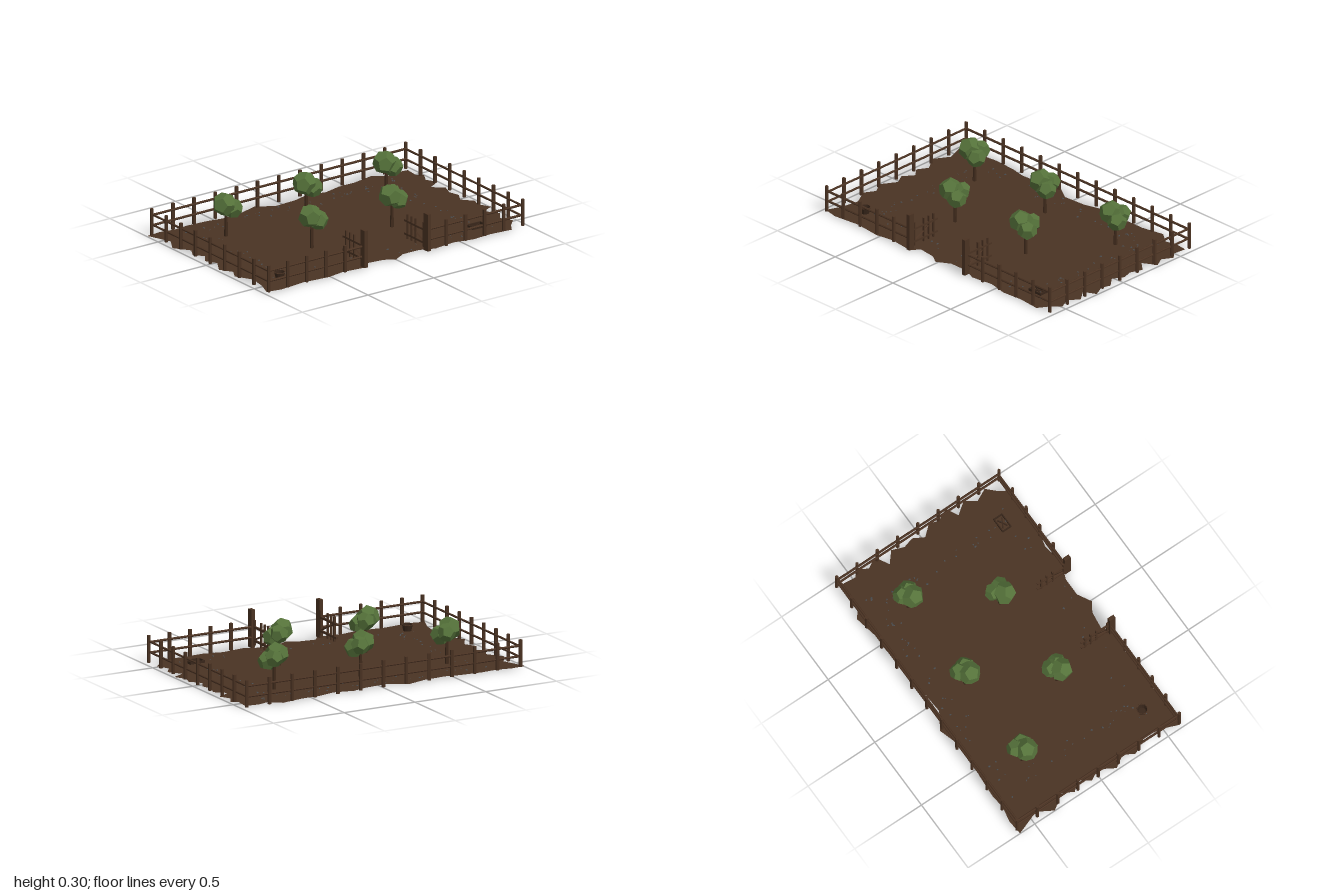
import * as THREE from 'three';

const mat = (name, color, opts = {}) => new THREE.MeshStandardMaterial({ name, color, flatShading: true, ...opts });

export function createModel() {
  const root = new THREE.Group();
  root.name = 'fencedOrchard';
  const soil = mat('soil', 0x4a3323, { side: THREE.DoubleSide });
  const wood = mat('wood', 0x4a3222);
  const bark = mat('bark', 0x402b1c);
  const leaf = mat('leaf', 0x55723a);
  const stone = mat('stone', 0x4a4c4e);
  const darkWood = mat('darkWood', 0x38261a, { side: THREE.DoubleSide });
  const G = 0.006; // soil level

  let seed = 11;
  const rnd = () => (seed = (seed * 16807) % 2147483647) / 2147483647;
  const group = (name, parent = root) => {
    const g = new THREE.Group();
    g.name = name;
    parent.add(g);
    return g;
  };
  const add = (parent, name, geo, material, x = 0, y = 0, z = 0) => {
    const m = new THREE.Mesh(geo, material);
    m.name = name;
    m.position.set(x, y, z);
    parent.add(m);
    return m;
  };
  // Round pole between two points
  const pole = (parent, name, a, b, r, material = wood, sides = 6) => {
    const A = new THREE.Vector3(...a), B = new THREE.Vector3(...b);
    const m = add(parent, name, new THREE.CylinderGeometry(r, r, A.distanceTo(B), sides), material);
    m.position.copy(A).add(B).multiplyScalar(0.5);
    m.quaternion.setFromUnitVectors(new THREE.Vector3(0, 1, 0), B.sub(A).normalize());
    return m;
  };

  // Soil sheet with a ragged outline, as x, z pairs
  const edge = [
    -1, -0.61, -0.9, -0.62, -0.8, -0.6, -0.7, -0.61, -0.55, -0.6, -0.45, -0.58, -0.3, -0.59, -0.17, -0.63,
    -0.06, -0.56, 0.1, -0.57, 0.2, -0.6, 0.33, -0.57, 0.45, -0.6, 0.57, -0.6, 0.72, -0.63, 0.8, -0.57,
    0.87, -0.59, 0.96, -0.58, 0.95, -0.48, 0.99, -0.45, 0.95, -0.38, 0.99, -0.31, 0.9, -0.26, 0.97, -0.2,
    0.94, -0.12, 0.96, -0.05, 0.92, 0.02, 0.98, 0.09, 0.96, 0.15, 1, 0.23, 0.92, 0.27, 0.98, 0.35,
    0.93, 0.42, 0.97, 0.5, 0.91, 0.56, 0.87, 0.625, 0.72, 0.61, 0.58, 0.62, 0.45, 0.59, 0.3, 0.61,
    0.2, 0.57, 0.08, 0.57, -0.01, 0.62, -0.07, 0.58, -0.19, 0.565, -0.23, 0.62, -0.4, 0.6, -0.52, 0.62,
    -0.7, 0.6, -0.88, 0.62, -0.98, 0.6, -0.94, 0.5, -0.92, 0.38, -0.98, 0.27, -0.94, 0.2, -0.99, 0.12,
    -0.93, 0.02, -0.97, -0.05, -0.92, -0.12, -0.97, -0.18, -0.93, -0.25, -1, -0.35, -0.94, -0.45, -0.97, -0.53,
  ];
  const outline = new THREE.Shape();
  for (let i = 0; i < edge.length; i += 2) outline[i ? 'lineTo' : 'moveTo'](edge[i], -edge[i + 1]);
  add(root, 'soil', new THREE.ShapeGeometry(outline).rotateX(-Math.PI / 2), soil, 0, G, 0);

  // Fence runs: posts plus two rails
  const fence = group('fence');
  const run = (x0, z0, x1, z1, n, inX, inZ, skipLast = false) => {
    for (let i = 0; i <= n - (skipLast ? 1 : 0); i++) {
      const x = x0 + ((x1 - x0) * i) / n, z = z0 + ((z1 - z0) * i) / n;
      pole(fence, 'post', [x, G, z], [x, 0.178, z], 0.0115);
    }
    for (const y of [0.071, 0.138])
      pole(fence, 'rail', [x0 + inX, y, z0 + inZ], [x1 + inX, y, z1 + inZ], 0.0075);
  };
  run(-0.967, -0.61, 0.967, -0.61, 12, 0, 0.006);
  for (const s of [-1, 1]) {
    run(s * 0.967, 0.605, s * 0.967, -0.61, 8, -s * 0.006, 0, true);
    run(s * 0.967, 0.605, s * 0.24, 0.605, 5, 0, -0.01, true);
  }

  // Gate posts and the two leaves, standing open inwards
  for (const s of [-1, 1]) {
    const gate = group(s > 0 ? 'leftGate' : 'rightGate');
    const x = s * 0.234;
    add(gate, 'gatePost', new THREE.BoxGeometry(0.024, 0.242, 0.042), wood, s * 0.24, 0.127, 0.606);
    for (const z of [0.578, 0.495, 0.452, 0.41])
      add(gate, 'gatePicket', new THREE.BoxGeometry(0.012, 0.16, 0.012), wood, x, 0.104, z);
    for (const y of [0.052, 0.138])
      add(gate, 'gateRail', new THREE.BoxGeometry(0.012, 0.013, 0.215), wood, x, y, 0.487);
    pole(gate, 'gateBrace', [x, 0.062, 0.57], [x, 0.136, 0.41], 0.006, wood, 4);
  }

  // Trees: thin trunk with three faceted leaf clumps
  const clumps = [
    [-0.026, 0.225, 0.015, 0.075, 0.5],
    [0.034, 0.188, 0.022, 0.064, 1.4],
    [0.02, 0.215, -0.032, 0.06, 2.3],
  ];
  [[-0.61, -0.325], [0, -0.325], [0.61, -0.325], [-0.305, 0.15], [0.305, 0.15]].forEach(([x, z], i) => {
    const tree = group('tree');
    tree.position.set(x, 0, z);
    add(tree, 'trunk', new THREE.CylinderGeometry(0.009, 0.012, 0.17, 6), bark, 0, G + 0.085, 0);
    for (const [cx, cy, cz, r, turn] of clumps) {
      const c = add(tree, 'foliage', new THREE.DodecahedronGeometry(r), leaf, cx, cy, cz);
      c.rotation.set(turn * 0.6, turn + i * 0.25, 0.2);
    }
  });

  // Pebbles strewn along the inside of the fence
  const pebbles = group('pebbles');
  const geo = new THREE.DodecahedronGeometry(1);
  const pebble = (x, z) => {
    const r = 0.003 + rnd() * 0.004;
    const p = add(pebbles, 'pebble', geo, stone, x, G, z);
    p.scale.set(r * 1.3, r * 0.85, r);
    p.rotation.y = rnd() * 6;
  };
  for (let i = 0; i < 60; i++) {
    const s = i % 3 ? -1 : 1;
    pebble((rnd() * 2 - 1) * 0.8, s * (0.42 + rnd() * 0.12));
  }
  for (let i = 0; i < 44; i++) pebble((i % 2 ? 1 : -1) * (0.66 + rnd() * 0.09), (rnd() * 2 - 1) * 0.42);

  // Open bucket with a rim
  const bucket = group('bucket');
  bucket.position.set(-0.777, G, 0.46);
  const profile = [[0, 0.003], [0.025, 0.003], [0.034, 0.045], [0.03, 0.045], [0.023, 0.008], [0, 0.008]];
  add(bucket, 'bucketBody', new THREE.LatheGeometry(profile.map(p => new THREE.Vector2(...p)), 12), darkWood);
  add(bucket, 'bucketRim', new THREE.TorusGeometry(0.033, 0.003, 5, 12).rotateX(Math.PI / 2), wood, 0, 0.043, 0);

  // Low wooden frame with crossed slats
  const frame = group('crossedFrame');
  frame.position.set(0.723, G, 0.46);
  for (const s of [-1, 1]) {
    add(frame, 'frameLong', new THREE.BoxGeometry(0.104, 0.016, 0.007), darkWood, 0, 0.009, s * 0.03);
    add(frame, 'frameShort', new THREE.BoxGeometry(0.007, 0.016, 0.06), darkWood, s * 0.048, 0.009, 0);
    add(frame, 'slat', new THREE.BoxGeometry(0.07, 0.008, 0.007), darkWood, 0, 0.008, 0).rotation.y = s * 0.5;
  }
  return root;
}
